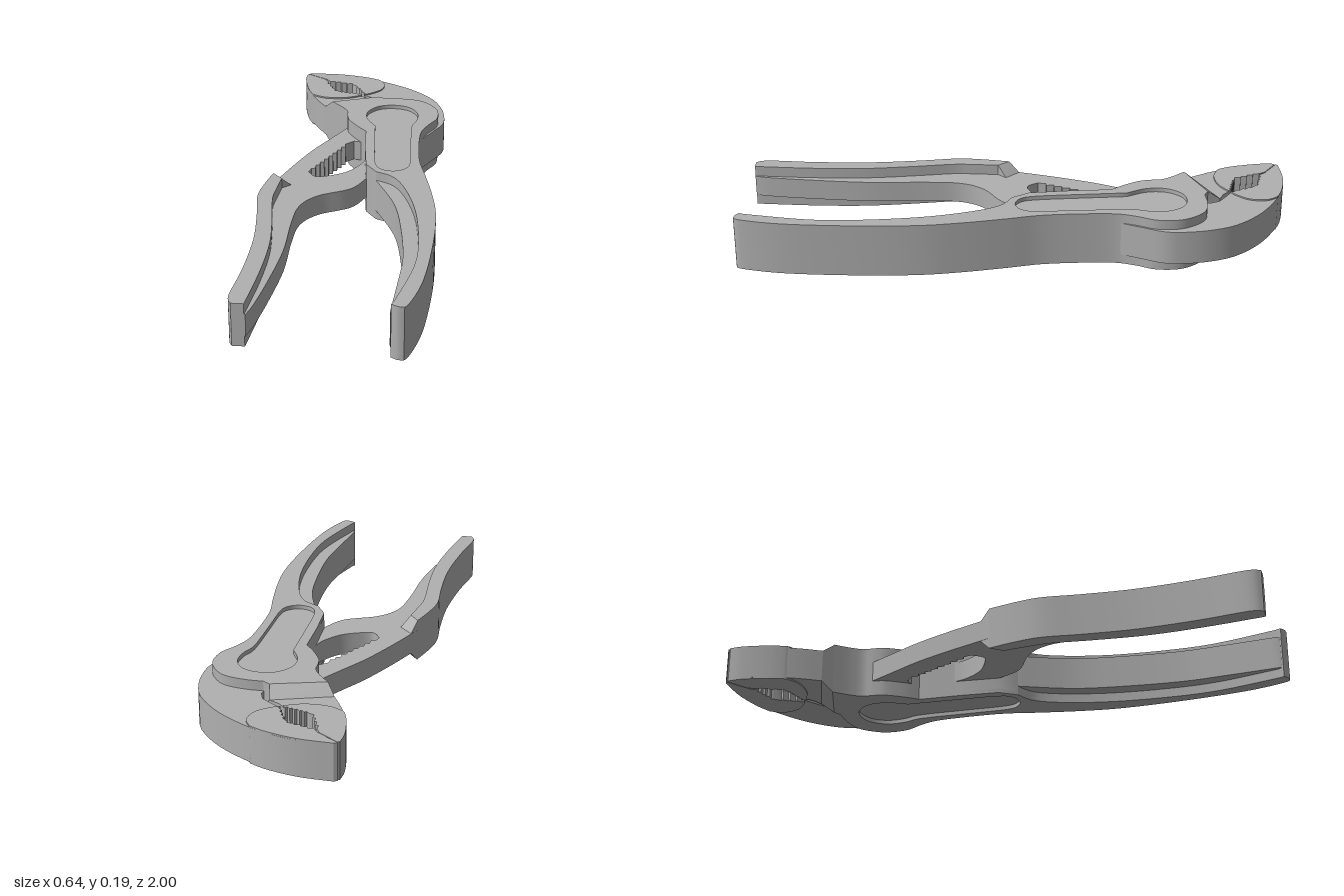
import * as THREE from 'three';
import { toCreasedNormals } from 'three/addons/utils/BufferGeometryUtils.js';

const steel = new THREE.MeshStandardMaterial({ color: 0xb0b0b0 });
steel.name = 'steel';
const MID = 0.0965; // mid-plane height shared by all plates

// Smooth run of points through a few [x, z] stations (hundredths of a unit)
const smooth = (pts, per = 5) =>
  new THREE.SplineCurve(pts.map(p => new THREE.Vector2(...p)))
    .getPoints(per * (pts.length - 1)).map(v => [v.x, v.y]);

// Saw-tooth run from a to b, with the points pushed sideways by depth
function teeth(a, b, count, depth) {
  const dx = b[0] - a[0], dz = b[1] - a[1], len = Math.hypot(dx, dz), out = [];
  for (let i = 0; i < count; i++) {
    const t = i / count, u = (i + 0.75) / count;
    out.push([a[0] + dx * t, a[1] + dz * t]);
    out.push([a[0] + dx * u - dz / len * depth, a[1] + dz * u + dx / len * depth]);
  }
  out.push(b);
  return out;
}

const toVec = pts => pts.map(([x, z]) => new THREE.Vector2(x / 100, -z / 100));

// Flat plate cut from an outline in plan, between two heights
function plate(name, outline, y0, y1, hole, adjust) {
  const shape = new THREE.Shape(toVec(outline));
  if (hole) shape.holes.push(new THREE.Path(toVec(hole)));
  let g = new THREE.ExtrudeGeometry(shape, { depth: y1 - y0, bevelEnabled: false });
  g.rotateX(-Math.PI / 2).translate(0, y0, 0);
  if (adjust) adjust(g.attributes.position);
  g = toCreasedNormals(g, 0.5);
  const mesh = new THREE.Mesh(g, steel);
  mesh.name = name;
  return mesh;
}

// Four-sided block whose far edge (last two corners) thins to a half height
function ramp(name, corners, half, farHalf) {
  const far = corners.slice(2);
  return plate(name, corners, MID - half, MID + half, null, pos => {
    for (let i = 0; i < pos.count; i++) {
      const isFar = far.some(([x, z]) =>
        Math.hypot(pos.getX(i) - x / 100, pos.getZ(i) - z / 100) < 1e-4);
      if (isFar) pos.setY(i, MID + Math.sign(pos.getY(i) - MID) * farHalf);
    }
  });
}

export function createModel() {
  const model = new THREE.Group();
  model.name = 'pliers';
  const group = (name, ...parts) => {
    const g = new THREE.Group();
    g.name = name;
    g.add(...parts);
    model.add(g);
  };

  // Box joint with the left-hand grip: full height, pocketed on both faces
  const rim = smooth([[8.2, 2], [15.1, 6.4], [20.4, 17.5], [24.7, 34.5], [26.8, 56], [26.3, 74], [21.5, 97]]);
  const body = [
    ...smooth([[20.8, 98.5], [23.6, 100], [26.3, 98], [30, 82], [31.8, 56], [31.6, 34.5], [29.4, 18.6],
      [26.3, 3.7], [23.6, -8], [22.5, -21], [22.5, -34.5], [24.7, -42], [27.9, -49], [27.9, -57],
      [24.7, -63], [19.9, -67], [12.5, -68.3], [6.1, -68]]),
    [3.5, -69.5],
    ...smooth([[-14.6, -62.6], [-10.3, -57.8], [-7.7, -53.6], [-7.2, -49.3], [-6.1, -45], [-2.4, -39], [1.3, -34.5]]),
    [2.4, -18.6], [4, -4.2],
    ...rim,
  ];
  const pocket = smooth([[4.5, -40], [0.8, -47], [0.6, -54], [4.5, -59.5], [10.3, -61.2], [16.2, -59.5],
    [20, -54], [20.2, -47], [18.6, -40], [19.3, -22], [20, -6], [18, -1], [13.8, 0.8], [9.3, -1],
    [7.2, -6.4], [5.8, -22], [4.5, -40]], 4).slice(0, -1);
  const gripWeb = [
    ...rim, [20.6, 98],
    ...smooth([[20.4, 97], [21.5, 77], [22, 61], [19.9, 40], [16.2, 21], [8.2, 2]]).slice(0, -1),
  ];
  group('jointAndGrip',
    plate('jointCore', body, 0.015, 0.178),
    plate('jointTopFace', body, 0.178, 0.193, pocket),
    plate('jointBottomFace', body, 0, 0.015, pocket),
    plate('gripWeb', gripWeb, 0.035, 0.158));

  // Lower jaw, stepped down from the joint by a sloped shoulder
  const biteLow = [
    [-28.9, -98.2], [-28.3, -98.8], [-21, -94],
    ...teeth([-19.4, -91.5], [-14.6, -81.7], 4, 0.9),
    ...teeth([-13.8, -81.5], [-5, -79.4], 5, 0.9),
    [-3.5, -77.5], [-1.9, -76],
  ];
  const jawLeft = smooth([[-24, -71.6], [-26.8, -82], [-28.6, -91], [-28.9, -98.2]]).slice(0, -1);
  group('lowerJaw',
    ramp('jawShoulder', [[-14.6, -62.6], [3.5, -69.5], [1.9, -74.2], [-17.8, -65.8]], MID, 0.061),
    plate('lowerJawBody', [[-17.8, -65.8], ...smooth([[-17.8, -65.8], [-22.5, -73.7], [-26.8, -83.3],
      [-28.9, -92.8], [-28.9, -98.2]]).slice(1, -1), ...biteLow, [2.2, -74.2]], 0.0355, 0.1575),
    plate('lowerJawBoss', [
      ...smooth([[-4, -78], [-10.3, -74.8], [-18.3, -74.3], [-24, -76.8]]),
      ...smooth([[-24.3, -77], [-26.8, -83.3], [-28.9, -92.8], [-28.9, -98.2]]).slice(1, -1),
      ...biteLow.slice(0, -2)], 0.03, 0.163));

  // Hooked upper jaw, running down through the joint
  const biteHigh = [
    [-28.4, -99.2], [-20.2, -93.8],
    ...teeth([-18.5, -91.5], [-8.8, -89], 4, -0.8),
    ...teeth([-8.2, -88.4], [-3.4, -79], 4, -0.8),
  ];
  group('upperJaw',
    plate('hook', [
      ...biteHigh, [1.3, -76], [4.5, -73.7], [6.1, -70], [5.6, -66], [6, -45], [18, -38],
      ...smooth([[22.5, -36], [26.3, -43.5], [30, -51.5], [30.5, -58.4], [28.9, -68], [24.7, -77.5],
        [16.2, -86.5], [5.6, -93.4], [-5, -98], [-15.6, -100], [-27.3, -99.9]]),
    ], 0.035, 0.158),
    plate('hookBoss', [
      ...biteHigh,
      ...smooth([[-3.2, -78.8], [-0.3, -80.6], [3.5, -85], [4.2, -91], [1.5, -95.5]]),
      ...smooth([[1.3, -95.5], [-5, -98], [-15.6, -100], [-27.3, -99.9]]),
    ], 0.03, 0.163));

  // Slotted arm with the right-hand grip
  const armOuter = smooth([[-29.4, 2.7], [-31.6, 13.3], [-32.4, 22.8], [-30.5, 37], [-28.9, 55.7],
    [-29.4, 77], [-31, 94.4], [-29.6, 99.4]]);
  const arm = [
    [8, -48], [-6.5, -51],
    ...smooth([[-7.7, -49.3], [-13, -38.7], [-18.3, -28], [-23.6, -14.3], [-27.9, -1.6], [-29.4, 2.7]]).slice(0, -1),
    ...armOuter,
    ...smooth([[-25, 99.4], [-23.4, 93], [-21, 77], [-18.8, 55.7], [-18.8, 34.5], [-17.6, 21], [-12, 12.2],
      [-0.8, 5.3], [4, -3.7]]),
    [12, -10],
  ];
  const slot = [
    [1, -36.5], [-3.5, -37.5],
    ...teeth([-6.5, -34.5], [-17, -11], 8, -1.2),
    ...smooth([[-17.8, -8], [-14.5, -4], [-8.8, -5.8], [-3.4, -9.5], [0.8, -16], [2.4, -22], [3.2, -30]]),
  ];
  group('armAndGrip',
    plate('slottedArm', arm, 0.058, 0.135, slot),
    plate('gripStrip', [
      ...armOuter,
      ...smooth([[-25.4, 99.4], [-25, 96], [-23.4, 77], [-23, 58], [-24.7, 40], [-26.8, 24], [-26.5, 16], [-25.8, 7]]),
    ], 0.019, 0.174),
    ramp('gripShoulder', [[-29.4, 2.7], [-25.8, 7], [-22.8, 4], [-27.9, -1]], 0.0775, 0.0385));

  return model;
}
